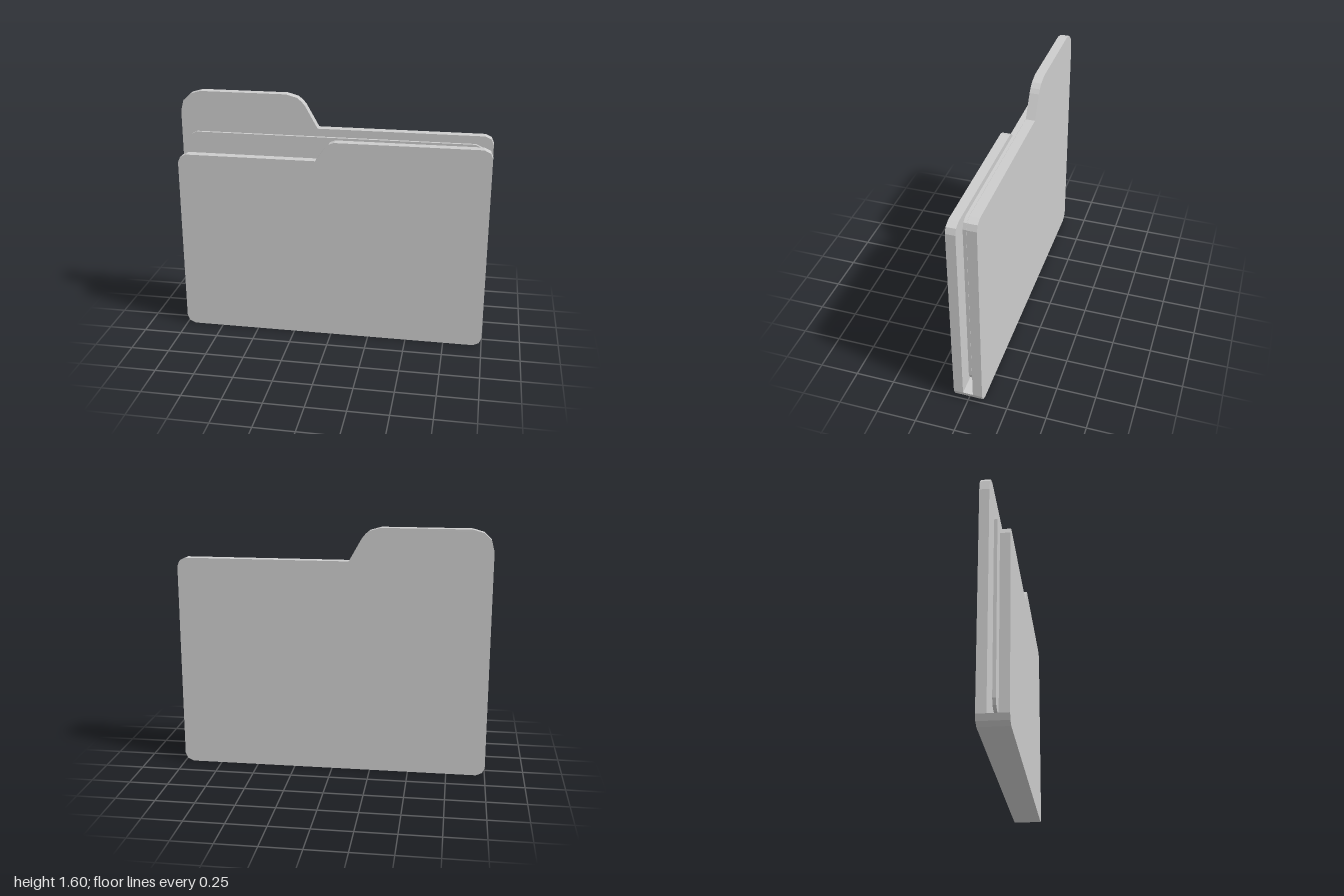
import * as THREE from 'three';

// Two-facet rounded corner around (x, y); sx, sy point outwards, r is the reach.
// Points run counter-clockwise around the outline.
function corner(x, y, sx, sy, r = 0.055) {
  const pts = [
    [x, y - sy * r],
    [x - sx * r * 0.28, y - sy * r * 0.34],
    [x - sx * r, y],
  ];
  return sx * sy > 0 ? pts : pts.reverse();
}

// Flat sheet with the given outline, between two depths.
function sheet(name, points, z0, z1) {
  const shape = new THREE.Shape(points.map(([x, y]) => new THREE.Vector2(x, y)));
  const geometry = new THREE.ExtrudeGeometry(shape, { depth: z1 - z0, bevelEnabled: false });
  geometry.translate(0, 0, z0);
  const material = new THREE.MeshStandardMaterial({ color: 0xcccccc, flatShading: true });
  const mesh = new THREE.Mesh(geometry, material);
  mesh.name = name;
  return mesh;
}

export function createModel() {
  const group = new THREE.Group();
  group.name = 'folder';
  const outer = 0.092, inner = 0.032, spineTop = 0.055;
  const bottom = [...corner(-1, 0, -1, -1), ...corner(1, 0, 1, -1)];

  // Back cover with the tall index tab
  group.add(sheet('backCover', [
    ...bottom,
    ...corner(1, 1.387, 1, 1),
    [-0.105, 1.387], [-0.185, 1.53], [-0.205, 1.555], [-0.235, 1.58], [-0.305, 1.6],
    [-0.865, 1.6], [-0.935, 1.58], [-0.982, 1.535], [-1, 1.465],
  ], -outer, -inner));

  // Front cover, stepped down on one side
  group.add(sheet('frontCover', [
    ...bottom,
    ...corner(1, 1.335, 1, 1),
    [0.02, 1.335], [-0.015, 1.322], [-0.045, 1.29], [-0.1, 1.21],
    ...corner(-1, 1.21, -1, 1),
  ], inner, outer));

  // Spine joining the covers along the bottom
  group.add(sheet('spine', [...bottom, [1, spineTop], [-1, spineTop]], -inner, inner));

  // Paper held between the covers
  group.add(sheet('paper', [
    ...corner(-0.945, 0.11, -1, -1), ...corner(0.945, 0.11, 1, -1),
    ...corner(0.945, 1.343, 1, 1), ...corner(-0.945, 1.343, -1, 1),
  ], -0.01, 0.01));

  return group;
}
